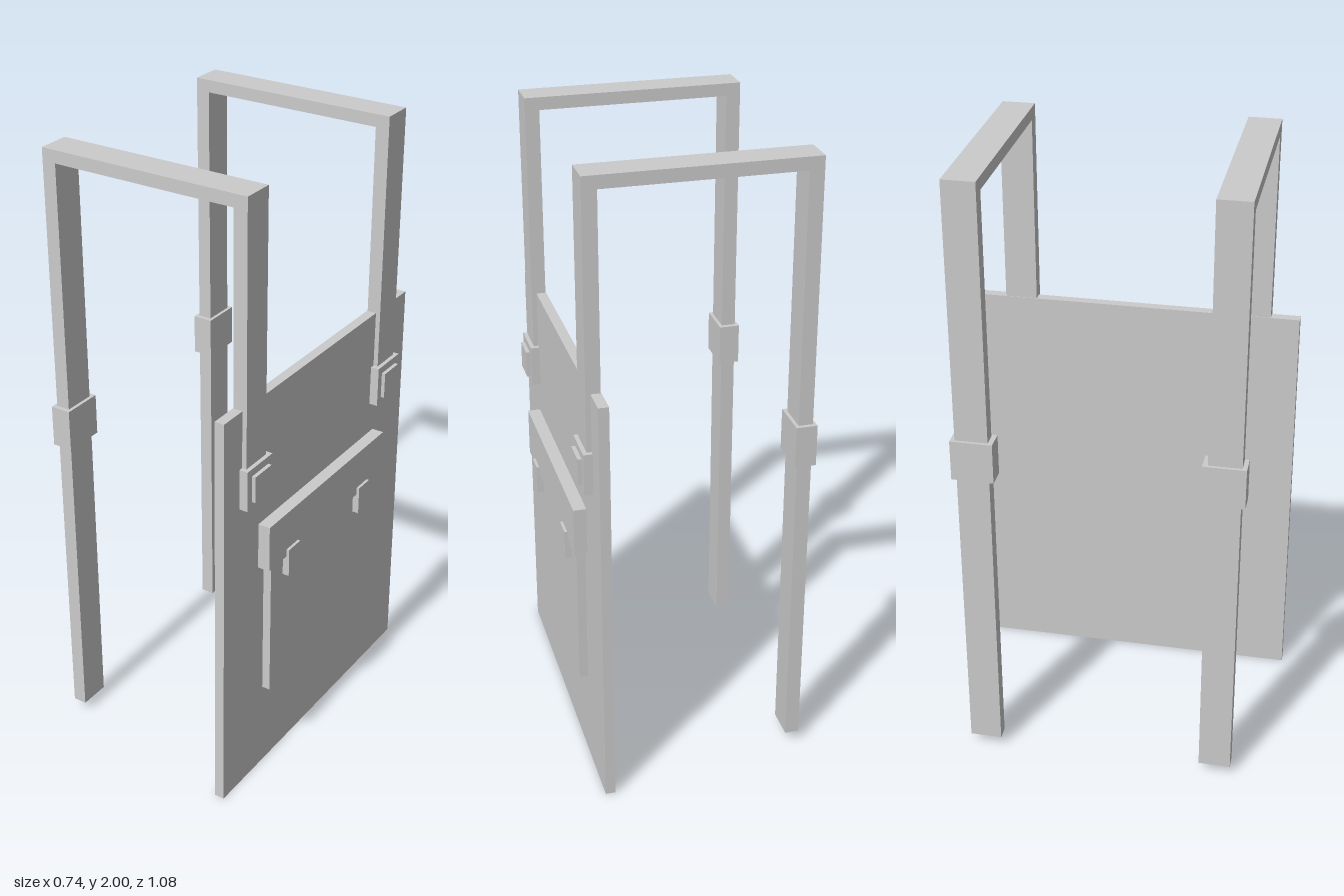
import * as THREE from 'three';

const material = new THREE.MeshStandardMaterial({ color: 0xcccccc, flatShading: true });
const openMaterial = new THREE.MeshStandardMaterial({ color: 0xcccccc, flatShading: true, side: THREE.DoubleSide });

// Box given by its limits on each axis
function block(name, [x0, x1], [y0, y1], [z0, z1]) {
  const mesh = new THREE.Mesh(new THREE.BoxGeometry(x1 - x0, y1 - y0, z1 - z0), material);
  mesh.position.set((x0 + x1) / 2, (y0 + y1) / 2, (z0 + z1) / 2);
  mesh.name = name;
  return mesh;
}

// Open-ended rectangular strap: pairs of outer and inner points swept across a width in z
function strapGeometry(outer, inner, z0, z1) {
  const positions = [];
  const index = [];
  outer.forEach(([ox, oy], i) => {
    const [ix, iy] = inner[i];
    positions.push(ox, oy, z0, ox, oy, z1, ix, iy, z1, ix, iy, z0);
    if (i === 0) return;
    for (let k = 0; k < 4; k++) {
      const a = (i - 1) * 4 + k;
      const b = (i - 1) * 4 + ((k + 1) % 4);
      index.push(a, b, b + 4, a, b + 4, a + 4);
    }
  });
  const geometry = new THREE.BufferGeometry();
  geometry.setAttribute('position', new THREE.Float32BufferAttribute(positions, 3));
  geometry.setIndex(index);
  const flat = geometry.toNonIndexed();
  flat.computeVertexNormals();
  return flat;
}

export function createModel() {
  const model = new THREE.Group();

  // Bib panel, slightly narrower at the top
  const panel = block('bibPanel', [0.285, 0.317], [0, 1.355], [-0.539, 0.539]);
  const pos = panel.geometry.attributes.position;
  for (let i = 0; i < pos.count; i++) {
    if (pos.getY(i) > 0) pos.setZ(i, pos.getZ(i) * 0.983);
  }
  model.add(panel);

  // Pocket with flap
  model.add(block('pocket', [0.31, 0.344], [0.3, 0.9], [-0.316, 0.316]));
  model.add(block('pocketFlap', [0.31, 0.357], [0.775, 0.93], [-0.347, 0.347]));

  for (const side of [1, -1]) {
    const span = (a, b) => (side > 0 ? [a, b] : [-b, -a]);

    // Shoulder strap running over the top and down the back
    const [z0, z1] = span(0.334, 0.437);
    const outer = [[-0.36, 0.035], [-0.36, 2], [0.332, 2], [0.332, 1.08]];
    const inner = [[-0.315, 0.035], [-0.315, 1.96], [0.287, 1.96], [0.287, 1.08]];
    const strap = new THREE.Mesh(strapGeometry(outer, inner, z0, z1), openMaterial);
    strap.name = 'shoulderStrap';
    model.add(strap);

    // Buckle on the panel and slider on the back strap
    model.add(block('frontBuckle', [0.31, 0.345], [1.037, 1.17], span(0.318, 0.451)));
    model.add(block('buckleStud', [0.34, 0.357], [1.06, 1.146], span(0.341, 0.428)));
    model.add(block('backSlider', [-0.37, -0.304], [1.037, 1.17], span(0.318, 0.451)));

    // Tab closing the pocket flap
    model.add(block('flapTab', [0.342, 0.366], [0.705, 0.8], span(0.183, 0.248)));
  }
  return model;
}
